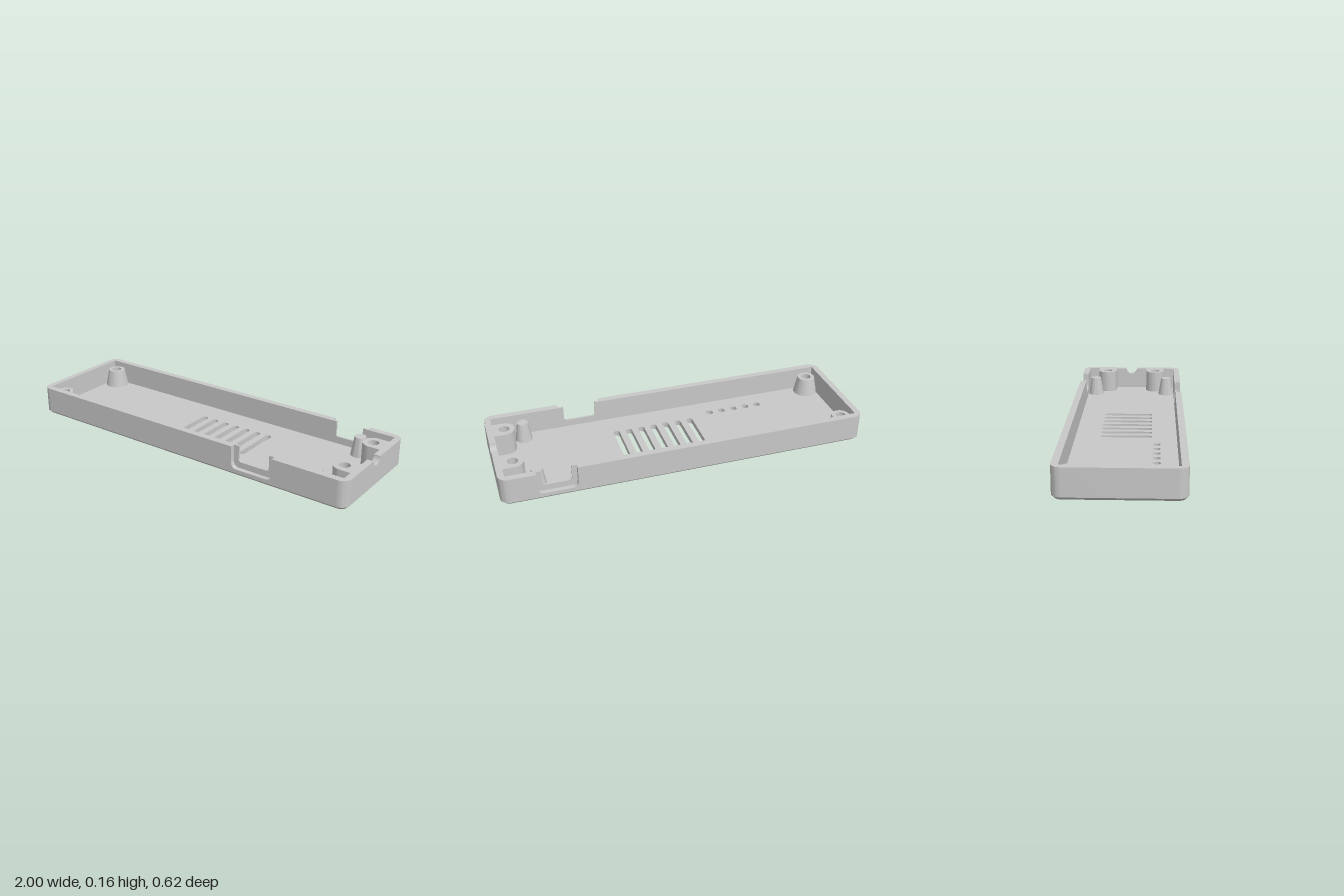
import * as THREE from 'three';
import { toCreasedNormals } from 'three/addons/utils/BufferGeometryUtils.js';

const TOP = 0.157, FLOOR = 0.03, CHAMFER = 0.015, BORE = 0.07;
const CX = 0.95, CZ = 0.26, R = 0.05; // outer corner centres and radius
const IN_X = 0.966, IN_Z = 0.274, STEP_Z = 0.285; // inner wall faces, recess depth
const HOLE = 0.028, COUNTERBORE = 0.045;
const POST = { x: -0.908, z: 0.226 }, BOSS = { x: 0.906, z: 0.154 }, PIN = { x: 0.798, z: 0.224 };

// points on an arc, angles in degrees
function arc(cx, cy, r, from, to, n = 12) {
  return Array.from({ length: n + 1 }, (_, i) => {
    const a = THREE.MathUtils.degToRad(from + (to - from) * i / n);
    return [cx + r * Math.cos(a), cy + r * Math.sin(a)];
  });
}
const circle = (x, y, r) => arc(x, y, r, 0, 360, 32).slice(0, -1);
const toVectors = (pts) => pts.map(([x, y]) => new THREE.Vector2(x, y));

// outlines and holes are all turned counterclockwise so every side faces out
function counterclockwise(pts) {
  const v = toVectors(pts);
  return THREE.ShapeUtils.isClockWise(v) ? v.reverse() : v;
}

function extrude(pts, holes, depth) {
  const shape = new THREE.Shape(counterclockwise(pts));
  shape.holes = holes.map((h) => new THREE.Path(counterclockwise(h)));
  return new THREE.ExtrudeGeometry(shape, { depth, bevelEnabled: false });
}

// extrude a plan drawn in (x, z) upwards from y0 to y1
function extrudePlan(pts, holes, y0, y1) {
  const flip = (list) => list.map(([x, z]) => [x, -z]);
  return extrude(flip(pts), holes.map(flip), y1 - y0).rotateX(-Math.PI / 2).translate(0, y0, 0);
}

// rounded outline of the case, pulled in by inset
function outline(inset) {
  const r = R - inset;
  return [
    ...arc(CX, CZ, r, 0, 90), ...arc(-CX, CZ, r, 90, 180),
    ...arc(-CX, -CZ, r, 180, 270), ...arc(CX, -CZ, r, 270, 360),
  ];
}

// sloping band between the underside and the walls
function chamferBand() {
  const low = outline(CHAMFER), high = outline(0), pos = [], index = [], n = low.length;
  for (let i = 0; i < n; i++) {
    pos.push(low[i][0], 0, low[i][1], high[i][0], CHAMFER, high[i][1]);
    const a = 2 * i, b = 2 * ((i + 1) % n);
    index.push(a, a + 1, b, a + 1, b + 1, b);
  }
  const g = new THREE.BufferGeometry();
  g.setAttribute('position', new THREE.Float32BufferAttribute(pos, 3));
  g.setIndex(index);
  return g;
}

// long wall layer with a round-cornered notch in its top edge
function notchedWall(x0, x1, bottom, r, z, depth) {
  const pts = [
    [-CX, CHAMFER], [CX, CHAMFER], [CX, TOP], [x1, TOP],
    ...arc(x1 - r, bottom + r, r, 0, -90, 6), ...arc(x0 + r, bottom + r, r, 270, 180, 6),
    [x0, TOP], [-CX, TOP],
  ];
  return extrude(pts, [], depth).translate(0, 0, z);
}

export function createModel() {
  const model = new THREE.Group();
  const grey = new THREE.MeshStandardMaterial({ color: 0xc8c8c8 });
  grey.name = 'grey plastic';

  const add = (name, geometry, x = 0, z = 0) => {
    const mesh = new THREE.Mesh(toCreasedNormals(geometry, 0.6), grey);
    mesh.name = name;
    mesh.position.set(x, 0, z);
    model.add(mesh);
  };

  // floor with vent slots, indicator holes and screw counterbores
  const holes = [];
  for (let i = 0; i < 7; i++) {
    const x = -0.136 + i * 0.0718, r = 0.0175, z = 0.122;
    holes.push([...arc(x, z, r, 0, 180), ...arc(x, -z, r, 180, 360)]);
  }
  for (let i = 0; i < 5; i++) holes.push(circle(-0.567 + i * 0.0735, 0.165, 0.02));
  for (const s of [-1, 1]) {
    holes.push(circle(POST.x, s * POST.z, COUNTERBORE), circle(BOSS.x, s * BOSS.z, COUNTERBORE));
  }
  add('floor', extrudePlan(outline(CHAMFER), holes, 0, FLOOR));
  add('bottomChamfer', chamferBand());

  // long walls: stepped port openings, wide outside and narrow inside
  const lip = STEP_Z - IN_Z, skin = 0.31 - STEP_Z;
  add('frontWallOuter', notchedWall(0.35, 0.59, 0.036, 0.03, STEP_Z, skin));
  add('frontWallInner', notchedWall(0.38, 0.56, 0.07, 0.015, IN_Z, lip));
  add('backWallOuter', notchedWall(0.603, 0.812, 0.036, 0.03, -0.31, skin));
  add('backWallInner', notchedWall(0.63, 0.785, 0.07, 0.015, -STEP_Z, lip));

  // plain end wall with both corners
  add('rightEndWall', extrudePlan([
    ...arc(-CX, CZ, R, 90, 180), ...arc(-CX, -CZ, R, 180, 270),
    [-CX, -IN_Z], [-IN_X, -IN_Z], [-IN_X, IN_Z], [-CX, IN_Z],
  ], [], CHAMFER, TOP));

  // cable end: centre wall with a half-round notch
  add('cableEndWall', extrude([
    [-0.09, CHAMFER], [0.09, CHAMFER], [0.09, TOP],
    ...arc(0, TOP, 0.036, 0, -180, 20), [-0.09, TOP],
  ], [], 1 - IN_X).rotateY(Math.PI / 2).translate(IN_X, 0, 0));

  // tapered screw post, counterbored from below, and tapered locating pin
  const post = [
    [COUNTERBORE, FLOOR], [0.069, FLOOR], [0.049, 0.127], [HOLE, 0.127],
    [HOLE, BORE], [COUNTERBORE, BORE], [COUNTERBORE, FLOOR],
  ];
  const pin = [[0.047, FLOOR - 0.005], [0.03, 0.135], [0, 0.135]];

  for (const s of [-1, 1]) {
    const side = s > 0 ? 'front' : 'back';
    // cable end corner joined to its screw boss
    const corner = [
      [1, 0.09], ...arc(CX, CZ, R, 0, 90), [CX, IN_Z], [IN_X, IN_Z], [IN_X, BOSS.z + 0.057],
      ...arc(BOSS.x, BOSS.z, 0.057, 90, 270, 20), [IN_X, BOSS.z - 0.057], [IN_X, 0.09],
    ].map(([x, z]) => [x, s * z]);
    const hole = (r) => [circle(BOSS.x, s * BOSS.z, r)];
    add(side + 'CornerBossLower', extrudePlan(corner, hole(COUNTERBORE), CHAMFER, BORE));
    add(side + 'CornerBossUpper', extrudePlan(corner, hole(HOLE), BORE, TOP));

    add(side + 'ScrewPost', new THREE.LatheGeometry(toVectors(post), 32), POST.x, s * POST.z);
    add(side + 'LocatingPin', new THREE.LatheGeometry(toVectors(pin), 32), PIN.x, s * PIN.z);
  }
  return model;
}
